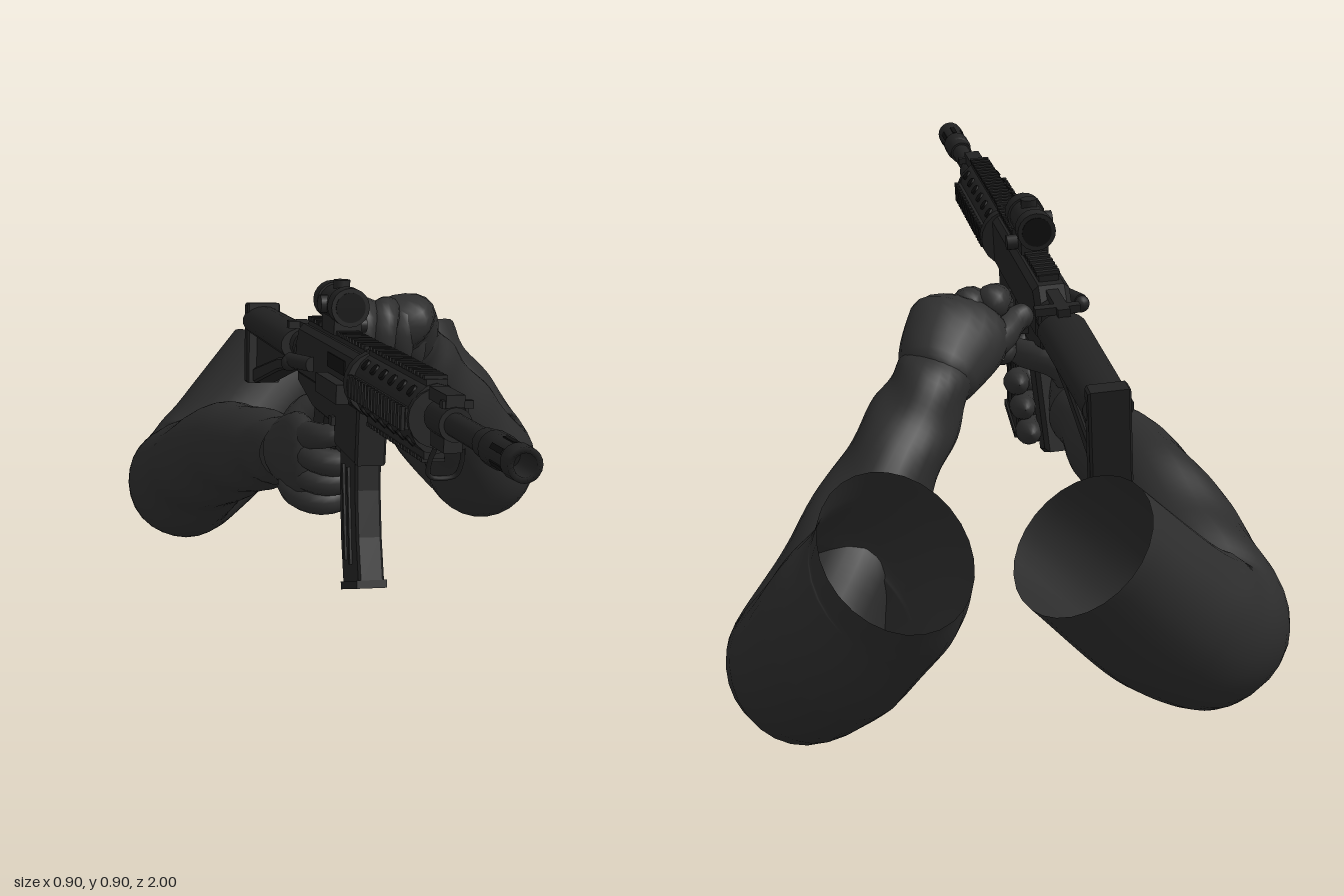
import * as THREE from 'three';

const material = (name, color, side = THREE.FrontSide) => {
  const m = new THREE.MeshStandardMaterial({ color, side });
  m.name = name;
  return m;
};

export function createModel() {
  const sleeveMat = material('sleeve cloth', 0x2c2c2c, THREE.DoubleSide);
  const gloveMat = material('glove', 0x2e2e2e);
  const metal = material('gun metal', 0x222222);
  const dark = material('dark recess', 0x101010);

  const model = new THREE.Group();
  const group = name => {
    const g = new THREE.Group();
    g.name = name;
    model.add(g);
    return g;
  };
  const add = (parent, name, geo, mat, pos = [0, 0, 0], rot = [0, 0, 0]) => {
    const m = new THREE.Mesh(geo, mat);
    m.name = name;
    m.position.set(...pos);
    m.rotation.set(...rot);
    parent.add(m);
  };

  // Soft tube through [x, y, z, r, r2] stations; seed sets the direction of r
  const limb = (stations, seed, { steps = 18, sides = 14, round = 0.14, fold = 0 } = {}) => {
    const path = new THREE.CatmullRomCurve3(stations.map(s => new THREE.Vector3(s[0], s[1], s[2])), false, 'catmullrom');
    const size = new THREE.CatmullRomCurve3(stations.map(s => new THREE.Vector3(s[3], s[4] ?? s[3], 0)), false, 'catmullrom');
    const pos = [], idx = [], axis = new THREE.Vector3(...seed);
    for (let i = 0; i <= steps; i++) {
      const u = round ? (1 - Math.cos(Math.PI * i / steps)) / 2 : i / steps;
      const p = path.getPoint(u), t = path.getTangent(u), r = size.getPoint(u);
      const n = axis.clone().addScaledVector(t, -axis.dot(t)).normalize();
      const b = t.clone().cross(n);
      const end = Math.min(u, 1 - u);
      const k = round && end < round ? Math.sqrt(Math.max(0.0004, 1 - (1 - end / round) ** 2)) : 1;
      for (let j = 0; j < sides; j++) {
        const a = j / sides * Math.PI * 2;
        const f = 1 + fold * Math.max(0, 1 - u * 1.1) * Math.sin(36 * u + 2.2 * Math.sin(a) + Math.cos(2 * a));
        const v = p.clone().addScaledVector(n, Math.cos(a) * r.x * k * f).addScaledVector(b, Math.sin(a) * r.y * k * f);
        pos.push(v.x, v.y, v.z);
        if (i < steps) {
          const q = i * sides + j, w = i * sides + (j + 1) % sides;
          idx.push(q, w, q + sides, w, w + sides, q + sides);
        }
      }
    }
    const g = new THREE.BufferGeometry();
    g.setAttribute('position', new THREE.Float32BufferAttribute(pos, 3));
    g.setIndex(idx);
    g.computeVertexNormals();
    return g;
  };

  // Sleeves, open at the upper end
  const sleeve = { steps: 60, sides: 28, round: 0, fold: 0.06 };
  const rightArm = group('rightArm'), leftArm = group('leftArm');
  add(rightArm, 'rightSleeve', limb([
    [-0.21, 0.425, -0.15, 0.06], [-0.23, 0.39, -0.25, 0.075, 0.068], [-0.275, 0.335, -0.39, 0.096, 0.088],
    [-0.318, 0.24, -0.54, 0.105, 0.108], [-0.335, 0.16, -0.655, 0.124, 0.118], [-0.24, 0.2, -0.735, 0.13], [-0.085, 0.335, -0.82, 0.122, 0.138],
  ], [0, 1, 0], sleeve), sleeveMat);
  add(leftArm, 'leftSleeve', limb([
    [0.075, 0.545, -0.37, 0.06], [0.11, 0.49, -0.42, 0.072], [0.165, 0.4, -0.47, 0.08, 0.085], [0.24, 0.27, -0.55, 0.1, 0.108],
    [0.326, 0.125, -0.66, 0.12, 0.122], [0.275, 0.2, -0.765, 0.128, 0.148], [0.215, 0.285, -0.82, 0.124, 0.156], [0.2, 0.345, -0.862, 0.12, 0.16],
  ], [1, 0, 0], sleeve), sleeveMat);

  // Right hand wrapped round the pistol grip
  add(rightArm, 'rightPalm', limb([
    [-0.215, 0.41, -0.2, 0.055, 0.045], [-0.205, 0.43, -0.13, 0.075, 0.05], [-0.205, 0.45, -0.06, 0.085, 0.04], [-0.2, 0.45, -0.01, 0.07, 0.03],
  ], [0, 1, 0], { sides: 20 }), gloveMat);
  for (let i = 0; i < 3; i++) {
    const y = 0.47 - i * 0.044, z = -0.018 - i * 0.014, x = -i * 0.009;
    add(rightArm, 'rightFinger', limb([
      [x - 0.205, y + 0.01, z - 0.07, 0.027], [x - 0.198, y, z - 0.005, 0.027], [x - 0.16, y - 0.008, z + 0.025, 0.026],
      [x - 0.115, y - 0.008, z + 0.01, 0.025], [x - 0.108, y - 0.008, z - 0.055, 0.023],
    ], [0, 1, 0]), gloveMat);
  }
  add(rightArm, 'rightIndexFinger', limb([
    [-0.205, 0.49, -0.08, 0.028], [-0.195, 0.51, -0.02, 0.026], [-0.18, 0.525, 0.025, 0.023], [-0.145, 0.53, 0.035, 0.019], [-0.11, 0.525, 0.02, 0.017],
  ], [0, 1, 0]), gloveMat);
  add(rightArm, 'rightThumb', limb([
    [-0.21, 0.46, -0.14, 0.034], [-0.17, 0.51, -0.145, 0.03], [-0.115, 0.525, -0.11, 0.026], [-0.1, 0.525, -0.04, 0.022],
  ], [0, 1, 0]), gloveMat);

  // Left hand pulling the charging handle
  add(leftArm, 'leftPalm', limb([
    [0.095, 0.51, -0.42, 0.058], [0.068, 0.555, -0.365, 0.08, 0.062], [0.035, 0.595, -0.31, 0.09, 0.06], [0.01, 0.612, -0.26, 0.07, 0.04],
  ], [1, 0, -0.5], { sides: 20 }), gloveMat);
  [-0.045, -0.002, 0.04, 0.075].forEach((x, i) => {
    const z = -0.24 - i * i * 0.007, y = 0.632 - i * i * 0.004;
    add(leftArm, 'leftFinger', limb([
      [x + 0.03, y, z - 0.07, 0.032], [x + 0.01, y + 0.01, z - 0.02, 0.03], [x, y - 0.02, z, 0.028],
      [x - 0.002, y - 0.065, z - 0.01, 0.027], [x, y - 0.09, z - 0.05, 0.024],
    ], [1, 0, 0]), gloveMat);
  });
  add(leftArm, 'leftThumb', limb([
    [0.03, 0.56, -0.35, 0.034], [-0.03, 0.58, -0.31, 0.03], [-0.065, 0.605, -0.265, 0.025], [-0.1, 0.62, -0.25, 0.02],
  ], [0, 1, 0]), gloveMat);

  // Rifle, built with the bore along local z
  const rifle = group('rifle');
  rifle.position.set(-0.142, 0.662, 0);
  rifle.rotation.set(-0.21, 0.026, -0.09);
  const box = (name, w, h, d, x, y, z, mat = metal, rot = [0, 0, 0]) => add(rifle, name, new THREE.BoxGeometry(w, h, d), mat, [x, y, z], rot);
  const rod = (name, r, z0, z1, y = 0, mat = metal) =>
    add(rifle, name, new THREE.CylinderGeometry(r, r, z1 - z0, 20).rotateX(Math.PI / 2), mat, [0, y, (z0 + z1) / 2]);
  const plate = (name, width, points, bevel = 0.004) => {
    const shape = new THREE.Shape(points.map(p => new THREE.Vector2(...p)));
    const depth = width - bevel * 2;
    const g = new THREE.ExtrudeGeometry(shape, { depth, bevelSize: bevel, bevelThickness: bevel, bevelSegments: 1 });
    add(rifle, name, g.translate(0, 0, -depth / 2).rotateY(-Math.PI / 2), metal);
  };
  const wire = (name, points, r) => add(rifle, name,
    new THREE.TubeGeometry(new THREE.CatmullRomCurve3(points.map(p => new THREE.Vector3(...p))), 24, r, 8), metal);

  // Barrel and slotted flash hider
  rod('barrel', 0.019, 0.58, 0.9);
  rod('barrelCollar', 0.023, 0.85, 0.885);
  const hider = [[0.018, 0.88], [0.027, 0.89], [0.027, 0.925], [0.024, 0.93], [0.024, 0.985], [0.027, 0.99], [0.026, 1.021], [0.017, 1.021], [0.017, 0.9]];
  add(rifle, 'flashHider', new THREE.LatheGeometry(hider.map(p => new THREE.Vector2(...p)), 20).rotateX(Math.PI / 2), metal);
  rod('bore', 0.0175, 0.9, 0.95, 0, dark);
  for (let i = 0; i < 6; i++) {
    const a = i * Math.PI / 3;
    box('hiderSlot', 0.009, 0.004, 0.05, Math.sin(a) * 0.0235, Math.cos(a) * 0.0235, 0.958, dark, [0, 0, -a]);
  }

  // Gas block, folded sight and sling loop
  rod('gasBlock', 0.027, 0.62, 0.7);
  box('gasBlockBase', 0.03, 0.03, 0.07, 0, -0.03, 0.655);
  box('frontSight', 0.03, 0.02, 0.09, 0, 0.035, 0.65);
  box('sightPin', 0.05, 0.012, 0.014, 0.005, 0.03, 0.685);
  wire('slingLoop', [[-0.022, -0.04, 0.67], [-0.026, -0.065, 0.655], [-0.02, -0.09, 0.64], [0.02, -0.09, 0.64], [0.026, -0.065, 0.655], [0.022, -0.04, 0.67]], 0.004);

  // Handguard with four toothed rails and vent holes
  add(rifle, 'handguard', new THREE.CylinderGeometry(0.05, 0.05, 0.35, 16).rotateX(Math.PI / 2).scale(0.88, 1.12, 1), metal, [0, -0.008, 0.423]);
  rod('handguardCap', 0.047, 0.59, 0.604, -0.006);
  rod('deltaRing', 0.056, 0.235, 0.258, -0.006);
  [[0, 0.048, 0], [0, -0.066, 0], [0.043, -0.008, 1], [-0.043, -0.008, 1]].forEach(([x, y, side]) => {
    box('rail', side ? 0.012 : 0.034, side ? 0.034 : 0.012, 0.34, x, y, 0.425);
    for (let i = 0; i < 17; i++) {
      const z = 0.265 + i * 0.02;
      box('railTooth', side ? 0.007 : 0.038, side ? 0.038 : 0.007, 0.011, x + Math.sign(x) * 0.008, y + (side ? 0 : Math.sign(y) * 0.008), z);
    }
  });
  for (const sx of [1, -1]) for (const sy of [1, -1]) for (let i = 0; i < 6; i++)
    add(rifle, 'ventHole', new THREE.CylinderGeometry(0.01, 0.01, 0.005, 12), dark,
      [sx * 0.0315, -0.008 + sy * 0.04, 0.29 + i * 0.055], [0, 0, sx * (sy * 0.72 - Math.PI / 2)]);

  // Upper and lower receiver
  plate('upperReceiver', 0.066, [[0.24, 0.03], [0.24, -0.05], [-0.195, -0.05], [-0.21, 0.0], [-0.19, 0.03]], 0.01);
  box('topRail', 0.036, 0.014, 0.42, 0, 0.044, 0.035);
  for (let i = 0; i < 20; i++) box('topRailTooth', 0.042, 0.008, 0.011, 0, 0.053, -0.165 + i * 0.0212);
  plate('lowerReceiver', 0.055, [[0.225, -0.045], [0.22, -0.15], [0.08, -0.14], [0.07, -0.105], [-0.09, -0.1], [-0.21, -0.07], [-0.22, -0.03]]);
  box('boltCover', 0.022, 0.034, 0.15, -0.046, -0.034, 0.12);
  box('ejectionPort', 0.004, 0.026, 0.12, -0.033, 0.006, 0.1, dark);
  add(rifle, 'forwardAssist', new THREE.CylinderGeometry(0.014, 0.014, 0.07, 14), metal, [-0.05, -0.02, -0.1], [Math.PI / 2, 0, -0.4]);
  add(rifle, 'assistButton', new THREE.SphereGeometry(0.016, 14, 10), metal, [-0.064, -0.025, -0.13]);
  box('boltCatch', 0.014, 0.045, 0.02, 0.032, -0.07, 0.05);
  box('selector', 0.016, 0.012, 0.04, 0.032, -0.08, -0.07);
  box('magazineButton', 0.07, 0.016, 0.02, 0, -0.1, 0.07);
  box('chargingHandle', 0.022, 0.014, 0.12, 0, 0.026, -0.25);
  box('chargingLatch', 0.08, 0.014, 0.02, 0.008, 0.026, -0.285);

  // Curved magazine
  plate('magazine', 0.046, [[0.205, -0.12], [0.21, -0.2], [0.226, -0.28], [0.25, -0.354], [0.15, -0.38], [0.124, -0.3], [0.108, -0.21], [0.102, -0.12]]);
  box('magazineFloor', 0.054, 0.014, 0.112, 0, -0.37, 0.201, metal, [-0.25, 0, 0]);
  for (const x of [0.024, -0.024]) for (const z of [0.14, 0.175])
    box('magazineRib', 0.006, 0.17, 0.01, x, -0.25, z + 0.008, metal, [-0.2, 0, 0]);

  // Trigger, guard and grip
  wire('triggerGuard', [[0, -0.11, 0.078], [0, -0.15, 0.068], [0, -0.162, 0.02], [0, -0.152, -0.02], [0, -0.11, -0.028]], 0.006);
  wire('trigger', [[0, -0.1, 0.02], [0, -0.125, 0.022], [0, -0.145, 0.032]], 0.005);
  plate('grip', 0.046, [[-0.01, -0.095], [-0.09, -0.09], [-0.1, -0.13], [-0.175, -0.28], [-0.125, -0.3], [-0.045, -0.15]], 0.008);

  // Red dot sight on its mount
  box('sightMount', 0.05, 0.03, 0.09, 0, 0.064, 0);
  rod('sightTube', 0.031, -0.07, 0.055, 0.1);
  for (const [z0, z1] of [[0.03, 0.062], [-0.075, -0.045]]) rod('sightRing', 0.035, z0, z1, 0.1);
  for (const z of [0.0625, -0.0755]) rod('sightLens', 0.027, z - 0.001, z + 0.001, 0.1, dark);
  add(rifle, 'sightTopKnob', new THREE.CylinderGeometry(0.015, 0.015, 0.02, 14), metal, [0, 0.133, -0.005]);
  add(rifle, 'sightSideKnob', new THREE.CylinderGeometry(0.016, 0.016, 0.015, 14), metal, [-0.033, 0.1, -0.005], [0, 0, Math.PI / 2]);
  add(rifle, 'mountKnob', new THREE.CylinderGeometry(0.014, 0.014, 0.03, 14), metal, [0.03, 0.062, 0], [0, 0, Math.PI / 2]);

  // Collapsible stock on its tube: wide top, thin recessed web and framed lower edge
  rod('stockTube', 0.028, -0.45, -0.2, -0.012);
  rod('castleNut', 0.034, -0.235, -0.215, -0.012);
  add(rifle, 'stockBody', new THREE.CylinderGeometry(0.045, 0.042, 0.37, 18).rotateX(Math.PI / 2).scale(1, 0.75, 1), metal, [0, -0.014, -0.47]);
  plate('stockWeb', 0.03, [[-0.31, -0.01], [-0.655, 0.01], [-0.655, -0.135], [-0.62, -0.13], [-0.41, -0.075], [-0.31, -0.06]]);
  plate('stockLowerEdge', 0.046, [[-0.31, -0.045], [-0.41, -0.06], [-0.65, -0.118], [-0.65, -0.138], [-0.62, -0.135], [-0.41, -0.078], [-0.31, -0.062]]);
  plate('buttPad', 0.07, [[-0.645, 0.02], [-0.668, 0.018], [-0.66, -0.14], [-0.637, -0.138]]);

  return model;
}
